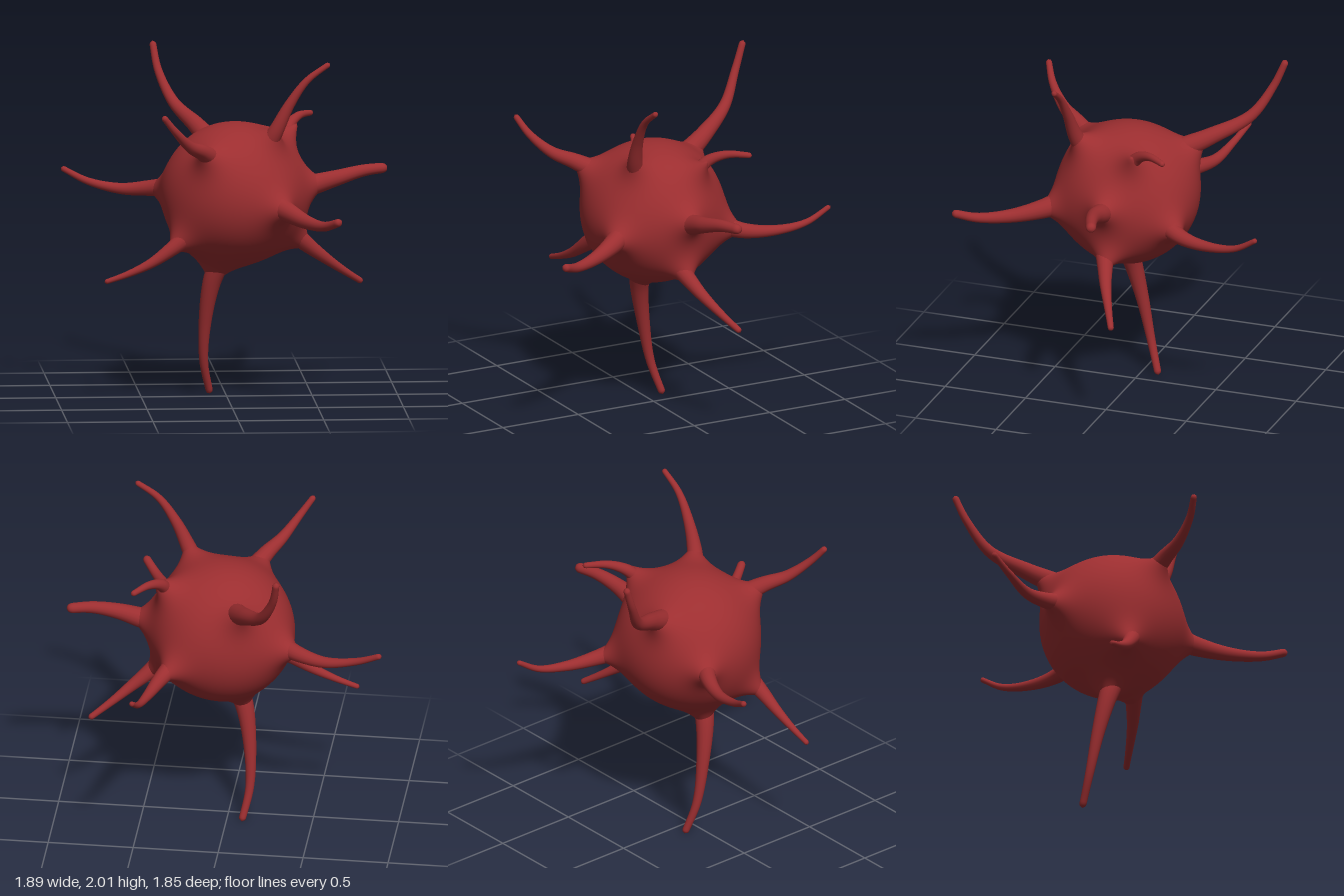
import * as THREE from 'three';
import { mergeVertices } from 'three/addons/utils/BufferGeometryUtils.js';

const CENTER = new THREE.Vector3(0.04, 1.2, 0.03);
const RADIUS = 0.42;

// Each arm: tip radius, then the path from inside the body to the tip.
const ARMS = {
  upperBackArm: [0.02, [-0.08, 1.47, -0.27], [-0.15, 1.54, -0.42], [-0.27, 1.65, -0.62], [-0.35, 1.82, -0.73], [-0.38, 1.985, -0.8]],
  upperLeftArm: [0.016, [0.2, 1.46, 0.22], [0.27, 1.6, 0.27], [0.35, 1.76, 0.29], [0.45, 1.9, 0.3], [0.585, 2, 0.295]],
  upperFrontArm: [0.018, [-0.1, 1.44, 0.32], [-0.17, 1.5, 0.43], [-0.25, 1.55, 0.54], [-0.34, 1.65, 0.64], [-0.42, 1.755, 0.695]],
  rightArm: [0.017, [-0.3, 1.22, -0.13], [-0.44, 1.2, -0.22], [-0.6, 1.19, -0.28], [-0.79, 1.23, -0.32], [-0.945, 1.305, -0.37]],
  hookArm: [0.017, [0.28, 1.42, -0.05], [0.35, 1.51, -0.1], [0.38, 1.575, -0.16], [0.44, 1.615, -0.25], [0.525, 1.615, -0.37]],
  leftArm: [0.03, [0.4, 1.22, 0.03], [0.52, 1.25, 0.02], [0.65, 1.285, 0.015], [0.8, 1.32, -0.02], [0.945, 1.33, -0.07]],
  frontArm: [0.024, [0.27, 1.17, 0.36], [0.34, 1.14, 0.46], [0.43, 1.11, 0.62], [0.52, 1.11, 0.79], [0.605, 1.155, 0.92]],
  lowerLeftArm: [0.018, [0.36, 0.99, 0.06], [0.46, 0.9, 0.02], [0.56, 0.82, -0.02], [0.68, 0.73, -0.08], [0.805, 0.645, -0.145]],
  lowerRightArm: [0.015, [-0.22, 1, 0.24], [-0.34, 0.91, 0.27], [-0.46, 0.83, 0.285], [-0.59, 0.77, 0.29], [-0.735, 0.72, 0.29]],
  bottomArm: [0.021, [-0.04, 0.82, 0.07], [-0.09, 0.68, 0.045], [-0.125, 0.45, 0], [-0.13, 0.2, -0.05], [-0.09, 0, -0.11]],
  backArm: [0.015, [0.28, 1.13, -0.28], [0.35, 1.09, -0.42], [0.4, 1.08, -0.6], [0.435, 1.11, -0.78], [0.46, 1.195, -0.925]],
};

// Weld vertices so that the normals run smoothly over every seam.
function smooth(geometry) {
  geometry.deleteAttribute('uv');
  geometry.deleteAttribute('normal');
  const welded = mergeVertices(geometry, 1e-5);
  welded.computeVertexNormals();
  return welded;
}

// Sphere drawn outwards into a flared mound under each arm.
function bodyGeometry() {
  const geometry = smooth(new THREE.IcosahedronGeometry(1, 48));
  const roots = Object.values(ARMS).map((a) => new THREE.Vector3(...a[2]).sub(CENTER).normalize());
  const pos = geometry.attributes.position;
  const v = new THREE.Vector3();
  for (let i = 0; i < pos.count; i++) {
    v.fromBufferAttribute(pos, i).normalize();
    let r = RADIUS;
    for (const root of roots) r += 0.15 * Math.exp(-v.angleTo(root) / 0.15);
    v.multiplyScalar(r).add(CENTER);
    pos.setXYZ(i, v.x, v.y, v.z);
  }
  geometry.computeVertexNormals();
  return geometry;
}

// Tube that tapers along its curve and closes in a round tip.
function armGeometry(tip, points) {
  const curve = new THREE.CatmullRomCurve3(points.map((p) => new THREE.Vector3(...p)));
  const steps = 72, sides = 16, length = curve.getLength();
  const geometry = new THREE.TubeGeometry(curve, steps, 1, sides);
  const pos = geometry.attributes.position;
  const v = new THREE.Vector3();
  for (let i = 0; i <= steps; i++) {
    const t = i / steps;
    const c = curve.getPointAt(t);
    const cap = Math.min(1, ((1 - t) * length) / (tip * 1.3));
    const r = (tip + 0.045 * Math.pow(1 - t, 1.6)) * Math.sqrt(1 - (1 - cap) ** 2);
    for (let j = 0; j <= sides; j++) {
      const k = i * (sides + 1) + j;
      v.fromBufferAttribute(pos, k).sub(c).multiplyScalar(r).add(c);
      pos.setXYZ(k, v.x, v.y, v.z);
    }
  }
  return smooth(geometry);
}

export function createModel() {
  const group = new THREE.Group();
  const red = new THREE.MeshStandardMaterial({ color: 0x9c2e30 });
  red.name = 'deep red';

  const body = new THREE.Mesh(bodyGeometry(), red);
  body.name = 'body';
  group.add(body);

  for (const [name, [tip, ...points]] of Object.entries(ARMS)) {
    const arm = new THREE.Mesh(armGeometry(tip, points), red);
    arm.name = name;
    group.add(arm);
  }
  return group;
}
